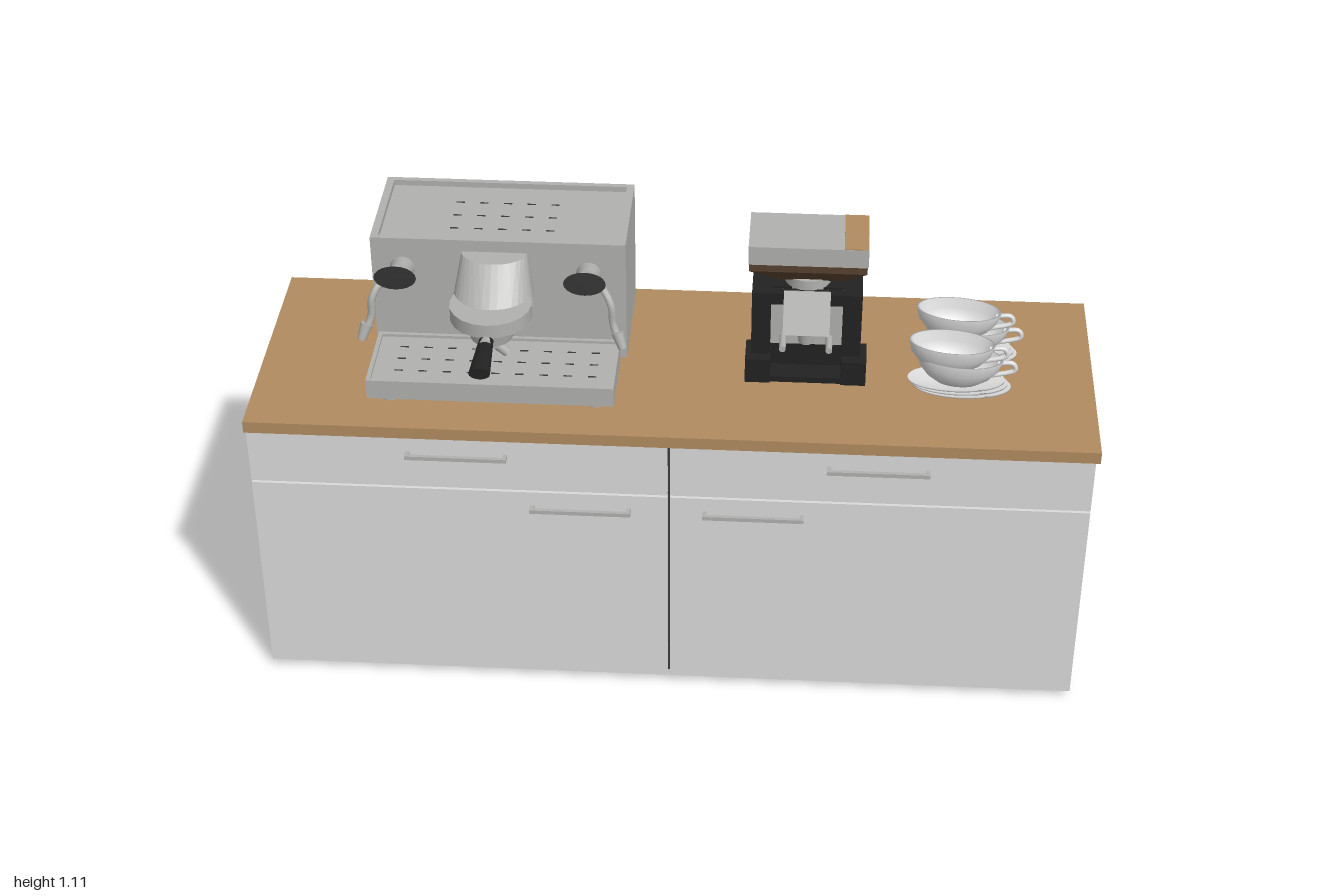
import * as THREE from 'three';
import { ConvexGeometry } from 'three/addons/geometries/ConvexGeometry.js';

const mat = (name, color, side = THREE.FrontSide) => {
  const m = new THREE.MeshStandardMaterial({ color, side });
  m.name = name;
  return m;
};

export function createModel() {
  const white = mat('cabinet white', 0xdadada);
  const wood = mat('oak', 0xb08b60);
  const steel = mat('steel', 0xb0b0ae);
  const black = mat('black plastic', 0x222222);
  const beans = mat('coffee beans', 0x57422f);
  const china = mat('china', 0xdcdcdc, THREE.DoubleSide);
  const gap = mat('shadow gap', 0x3c3c3c);

  const root = new THREE.Group();
  root.name = 'coffeeStation';
  const group = (name, parent = root) => {
    const g = new THREE.Group();
    g.name = name;
    parent.add(g);
    return g;
  };
  const add = (parent, name, geo, m) => {
    const mesh = new THREE.Mesh(geo, m);
    mesh.name = name;
    parent.add(mesh);
    return mesh;
  };
  // box from its minimum and maximum corners
  const box = (parent, name, m, x0, x1, y0, y1, z0, z1) => {
    const b = add(parent, name, new THREE.BoxGeometry(x1 - x0, y1 - y0, z1 - z0), m);
    b.position.set((x0 + x1) / 2, (y0 + y1) / 2, (z0 + z1) / 2);
    return b;
  };
  // round bar between two points, radius r0 at a and r1 at b
  const bar = (parent, name, m, a, b, r0, r1 = r0) => {
    const A = new THREE.Vector3(...a), B = new THREE.Vector3(...b);
    const c = add(parent, name, new THREE.CylinderGeometry(r1, r0, A.distanceTo(B), 20), m);
    c.position.copy(A).lerp(B, 0.5);
    c.quaternion.setFromUnitVectors(new THREE.Vector3(0, 1, 0), B.sub(A).normalize());
    return c;
  };
  const tube = (parent, name, m, pts, r) => add(parent, name, new THREE.TubeGeometry(
    new THREE.CatmullRomCurve3(pts.map(p => new THREE.Vector3(...p))), 24, r, 10), m);

  // cabinet with two drawers, two doors and four feet
  const cabinet = group('cabinet');
  box(cabinet, 'carcass', white, -0.995, 0.99, 0.02, 0.72, -0.32, 0.28);
  box(cabinet, 'drawerGap', gap, -0.985, 0.98, 0.57, 0.58, 0.28, 0.284);
  box(cabinet, 'doorGap', gap, -0.005, 0.005, 0.025, 0.715, 0.28, 0.284);
  for (const [x0, x1] of [[-0.995, -0.003], [0.003, 0.99]]) {
    box(cabinet, 'drawerFront', white, x0, x1, 0.578, 0.72, 0.28, 0.3);
    box(cabinet, 'doorFront', white, x0, x1, 0.02, 0.572, 0.28, 0.3);
  }
  for (const x of [-0.9, 0.9]) for (const z of [0.23, -0.28])
    bar(cabinet, 'foot', white, [x, 0, z], [x, 0.021, z], 0.034, 0.045);
  for (const [x, y] of [[-0.5, 0.675], [0.49, 0.675], [-0.21, 0.53], [0.2, 0.53]]) {
    const handle = group('handle', cabinet);
    box(handle, 'grip', steel, x - 0.12, x + 0.12, y - 0.005, y + 0.005, 0.313, 0.322);
    for (const s of [-0.115, 0.115])
      box(handle, 'post', steel, x + s - 0.005, x + s + 0.005, y - 0.005, y + 0.005, 0.3, 0.314);
  }
  box(root, 'countertop', wood, -1, 1, 0.72, 0.75, -0.332, 0.305);

  // espresso machine housing with a railed cup tray
  const machine = group('espressoMachine');
  box(machine, 'housing', steel, -0.725, -0.12, 0.765, 1.066, -0.285, 0);
  for (const z of [-0.285, -0.014]) box(machine, 'rail', steel, -0.725, -0.12, 1.066, 1.08, z, z + 0.014);
  for (const x of [-0.725, -0.138]) box(machine, 'rail', steel, x, x + 0.018, 1.066, 1.08, -0.271, -0.014);
  box(machine, 'dripTray', steel, -0.72, -0.135, 0.765, 0.808, 0, 0.21);
  for (const z of [0.2, 0]) box(machine, 'trayLip', steel, -0.72, -0.135, 0.808, 0.815, z, z + 0.01);
  for (const x of [-0.72, -0.145]) box(machine, 'trayLip', steel, x, x + 0.01, 0.808, 0.815, 0.01, 0.2);
  for (const x of [-0.67, -0.18]) for (const z of [-0.25, 0.17])
    bar(machine, 'machineFoot', steel, [x, 0.75, z], [x, 0.766, z], 0.025);
  // rows of drain slots
  for (let i = 0; i < 9; i++) {
    const x = -0.66 + i * 0.0575;
    for (const z of [0.05, 0.1, 0.15])
      box(machine, 'drainSlot', gap, x, x + 0.02, 0.807, 0.809, z, z + 0.004);
    if (i > 1 && i < 7) for (const z of [-0.2, -0.14, -0.08])
      box(machine, 'cupTraySlot', gap, x, x + 0.02, 1.065, 1.067, z, z + 0.004);
  }

  // brew head: round flange with a hood sloping back to the housing
  const X = -0.43;
  const brew = group('brewHead', machine);
  bar(brew, 'flange', steel, [X, 0.94, 0.105], [X, 0.975, 0.105], 0.097);
  const hood = [];
  for (let i = 0; i <= 16; i++) {
    const a = i / 16 * Math.PI, c = Math.cos(a), s = Math.sin(a);
    hood.push(new THREE.Vector3(X + 0.097 * c, 0.95, 0.06 + 0.085 * s));
    hood.push(new THREE.Vector3(X + 0.092 * c, 0.975, 0.05 + 0.085 * s));
    hood.push(new THREE.Vector3(X + 0.078 * c, 1.05, 0.055 * s));
  }
  for (const x of [-0.09, 0.09]) hood.push(new THREE.Vector3(X + x, 0.95, 0));
  add(brew, 'hood', new ConvexGeometry(hood), steel);
  bar(brew, 'filterBasket', steel, [X, 0.885, 0.105], [X, 0.94, 0.105], 0.05, 0.062);
  bar(brew, 'spoutStem', steel, [X, 0.86, 0.105], [X, 0.886, 0.105], 0.02);
  for (const s of [-1, 1])
    bar(brew, 'spout', steel, [X, 0.872, 0.105], [X + s * 0.035, 0.838, 0.105], 0.014, 0.011);
  bar(brew, 'handleNeck', steel, [X, 0.922, 0.15], [X, 0.932, 0.225], 0.016);
  bar(brew, 'handleGrip', black, [X, 0.934, 0.2], [X, 0.931, 0.335], 0.017, 0.025).scale.z = 0.6;

  // steam valves and wands, mirrored about the brew head
  for (const s of [-1, 1]) {
    const steam = group('steamValve', machine);
    const x = X + s * 0.222;
    bar(steam, 'valveBody', steel, [x, 1.0, 0], [x, 1.015, 0.05], 0.03, 0.022);
    bar(steam, 'valveStem', steel, [x, 1.015, 0.045], [x, 1.03, 0.085], 0.012);
    bar(steam, 'knob', black, [x, 1.025, 0.072], [x, 1.036, 0.105], 0.03, 0.05).scale.z = 0.55;
    tube(steam, 'wand', steel, [[x, 1.0, 0.03], [x + s * 0.04, 1.0, 0.07], [x + s * 0.06, 0.97, 0.09],
      [x + s * 0.065, 0.92, 0.095], [x + s * 0.088, 0.87, 0.115]], 0.009);
    bar(steam, 'wandTip', steel, [x + s * 0.075, 0.905, 0.103], [x + s * 0.088, 0.868, 0.116], 0.015, 0.01);
  }

  // grinder body: two pillars around a recessed front, on flared feet
  const grinder = group('grinder');
  box(grinder, 'grinderBody', black, 0.18, 0.44, 0.75, 0.985, -0.13, 0.005);
  for (const x of [0.18, 0.395]) box(grinder, 'pillar', black, x, x + 0.045, 0.75, 0.985, 0.005, 0.038);
  for (const x of [0.167, 0.395]) box(grinder, 'grinderFoot', black, x, x + 0.06, 0.75, 0.815, -0.02, 0.065);
  box(grinder, 'grinderBase', black, 0.225, 0.395, 0.75, 0.765, 0.005, 0.06);
  box(grinder, 'facePlate', steel, 0.225, 0.395, 0.83, 0.98, 0.005, 0.013);
  box(grinder, 'topBrow', black, 0.225, 0.395, 0.955, 0.985, 0.013, 0.038);
  // tilted chute and its outlet
  const chute = box(grinder, 'chute', steel, 0.255, 0.365, 0.895, 1.0, 0.055, 0.067);
  chute.rotation.x = -0.45;
  box(grinder, 'chuteBlock', black, 0.265, 0.355, 0.905, 0.97, 0.013, 0.05);
  bar(grinder, 'outlet', steel, [0.31, 0.86, 0.045], [0.31, 0.91, 0.045], 0.018, 0.025);
  for (const x of [0.255, 0.365]) bar(grinder, 'fork', steel, [x, 0.85, 0.01], [x, 0.85, 0.07], 0.008);

  // hopper: neck, tapered bean funnel and lid box
  bar(grinder, 'hopperNeck', steel, [0.31, 0.98, -0.035], [0.31, 1.01, -0.035], 0.055);
  const funnel = [];
  for (const [y, w, z0, z1] of [[1.005, 0.075, -0.075, 0.005], [1.045, 0.138, -0.118, 0.038], [1.064, 0.138, -0.118, 0.038]])
    for (const x of [0.31 - w, 0.31 + w]) for (const z of [z0, z1]) funnel.push(new THREE.Vector3(x, y, z));
  add(grinder, 'funnel', new ConvexGeometry(funnel), beans);
  box(grinder, 'hopper', steel, 0.17, 0.45, 1.064, 1.112, -0.118, 0.04);
  box(grinder, 'lidStrip', wood, 0.393, 0.449, 1.11, 1.114, -0.117, 0.039);

  // two stacks of oval cups on saucers
  const lathe = pts => new THREE.LatheGeometry(pts.map(p => new THREE.Vector2(...p)), 32);
  const cupGeo = lathe([[0, 0], [0.05, 0], [0.075, 0.018], [0.094, 0.042], [0.102, 0.07],
    [0.096, 0.07], [0.088, 0.044], [0.065, 0.02], [0, 0.008]]);
  const saucerGeo = lathe([[0, 0], [0.06, 0], [0.115, 0.012], [0.115, 0.016], [0.06, 0.005], [0, 0.005]]);
  for (const [x, z] of [[0.66, 0.068], [0.68, -0.075]]) {
    const stack = group('cupStack');
    stack.position.set(x, 0.75, z);
    for (let i = 0; i < 3; i++) {
      const saucer = add(stack, 'saucer', saucerGeo, china);
      saucer.position.set(0.025 - i * 0.008, 0.001 + i * 0.009, 0);
      saucer.scale.z = 0.48;
    }
    for (let i = 0; i < 2; i++) {
      const cup = group('cup', stack);
      cup.position.set(0.012 - i * 0.022, 0.026 + i * 0.04, 0);
      cup.rotation.z = -0.06;
      add(cup, 'bowl', cupGeo, china).scale.z = 0.52;
      tube(cup, 'cupHandle', china, [[0.09, 0.06, 0], [0.125, 0.062, 0], [0.132, 0.045, 0], [0.078, 0.024, 0]], 0.006);
    }
  }
  return root;
}
